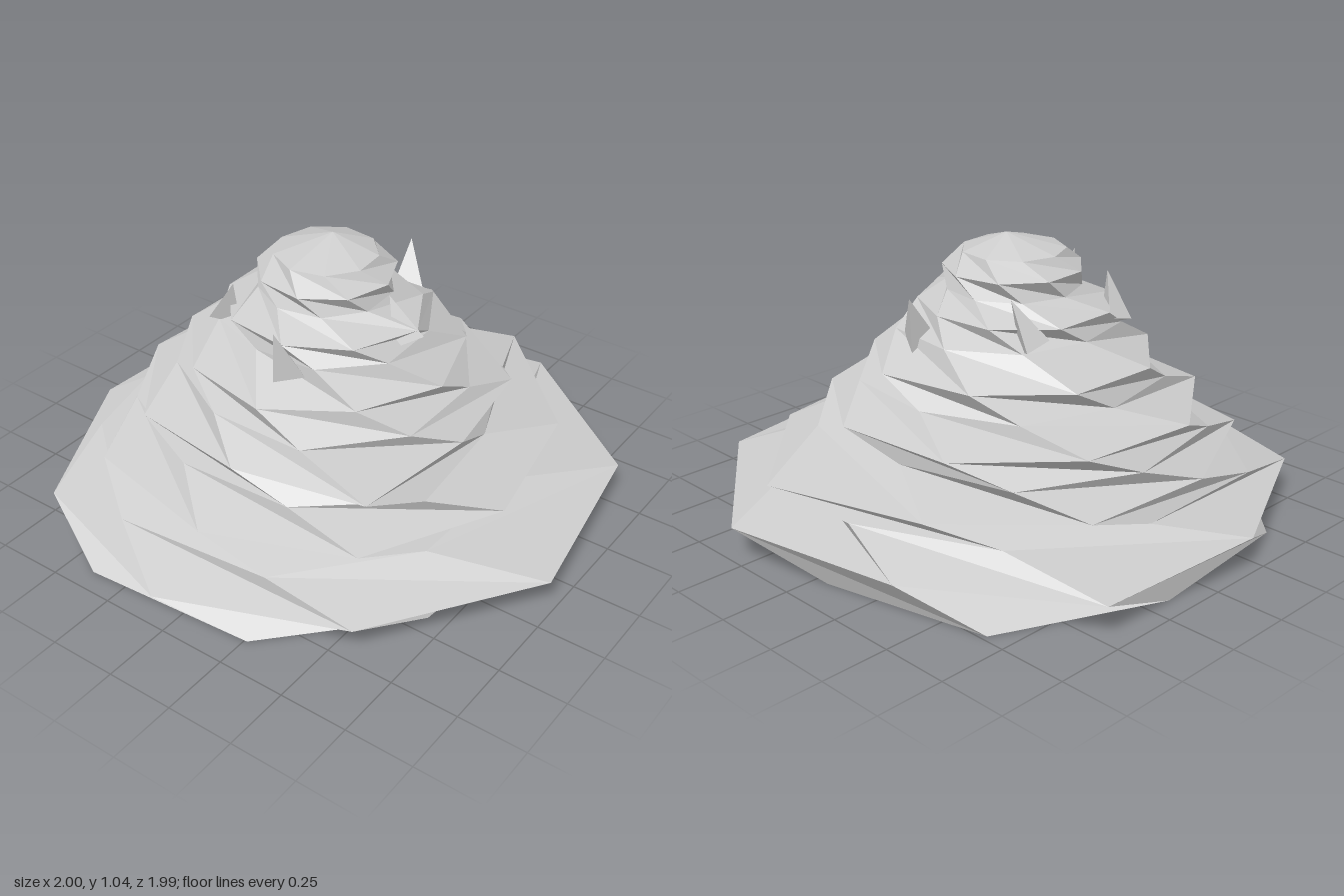
import * as THREE from 'three';

const SIDES = 9;
const rad = THREE.MathUtils.degToRad;
const even = (r) => Array(SIDES).fill(r);

// Rings from bottom to top, alternating groove and ridge: height, then corner radii
const RINGS = [
  [0.01, [0.88, 0.8, 0.85, 0.93, 0.98, 0.93, 0.88, 0.95, 0.87]],
  [0.14, [1.06, 1.08, 1.06, 0.99, 1.0, 1.02, 0.96, 1.03, 0.94]],
  [0.22, [0.78, 0.7, 0.76, 0.84, 0.87, 0.85, 0.74, 0.78, 0.8]],
  [0.29, [0.94, 0.85, 0.82, 0.81, 0.79, 0.83, 0.75, 0.78, 0.79]],
  [0.37, [0.7, 0.6, 0.69, 0.65, 0.63, 0.7, 0.67, 0.67, 0.59]],
  [0.46, [0.67, 0.67, 0.61, 0.76, 0.63, 0.68, 0.68, 0.67, 0.68]],
  [0.54, [0.55, 0.53, 0.55, 0.56, 0.51, 0.54, 0.5, 0.53, 0.51]],
  [0.63, [0.53, 0.5, 0.5, 0.47, 0.5, 0.5, 0.52, 0.52, 0.51]],
  [0.73, [0.42, 0.37, 0.38, 0.36, 0.33, 0.38, 0.35, 0.38, 0.4]],
  [0.8, [0.32, 0.34, 0.38, 0.36, 0.35, 0.36, 0.36, 0.36, 0.34]],
  [0.86, even(0.24)],
  [0.93, even(0.25)],
  [0.99, even(0.185)],
];

// Grooves are turned half a side against the ridges, and all rings drift slowly
function ringPoints([y, radii], k) {
  const turn = 20.2 - k * 1.2 + (k % 2 ? 0 : 20);
  return radii.map((r, i) => {
    const a = rad(turn + (i * 360) / SIDES);
    return new THREE.Vector3(Math.cos(a) * r, y, Math.sin(a) * r - 0.055);
  });
}

// Joins successive rings with a steady upward twist, closed by a point at the top
function shell(rings, apex) {
  const pos = [];
  const tri = (...pts) => pts.forEach((p) => pos.push(p.x, p.y, p.z));
  rings.forEach((lo, k) => {
    const hi = rings[k + 1];
    const step = k % 2 ? 0 : 1;
    for (let i = 0; i < SIDES; i++) {
      const j = (i + 1) % SIDES;
      if (!hi) {
        tri(lo[j], lo[i], apex);
      } else {
        const a = hi[(i + step) % SIDES];
        const b = hi[(i + step + 1) % SIDES];
        tri(lo[j], lo[i], b);
        tri(lo[i], a, b);
      }
    }
  });
  const geo = new THREE.BufferGeometry();
  geo.setAttribute('position', new THREE.Float32BufferAttribute(pos, 3));
  geo.computeVertexNormals();
  return geo;
}

export function createModel() {
  const model = new THREE.Group();
  const grey = new THREE.MeshStandardMaterial({ color: 0xcccccc, flatShading: true, side: THREE.DoubleSide });
  grey.name = 'paleGrey';

  // Layered mound, hollow and open underneath
  const mound = new THREE.Mesh(shell(RINGS.map(ringPoints), new THREE.Vector3(0.03, 1.05, -0.05)), grey);
  mound.name = 'layeredMound';
  model.add(mound);

  // Small three-sided thorns around the upper tiers: base centre, tip
  const thorns = [
    [[0.01, 0.75, 0.29], [0, 0.9, 0.21]],
    [[0.36, 0.71, 0.05], [0.42, 0.88, 0.02]],
    [[-0.35, 0.71, 0.05], [-0.41, 0.885, 0.03]],
    [[0.2, 0.74, -0.34], [0.23, 0.9, -0.27]],
    [[-0.21, 0.74, -0.34], [-0.25, 0.9, -0.27]],
  ];
  const up = new THREE.Vector3(0, 1, 0);
  for (const [from, to] of thorns) {
    const base = new THREE.Vector3(...from);
    const dir = new THREE.Vector3(...to).sub(base);
    const height = dir.length();
    const geo = new THREE.ConeGeometry(0.065, height, 3).translate(0, height / 2, 0);
    const thorn = new THREE.Mesh(geo, grey);
    thorn.position.copy(base);
    thorn.quaternion.setFromUnitVectors(up, dir.normalize());
    thorn.name = 'thorn';
    model.add(thorn);
  }
  return model;
}
